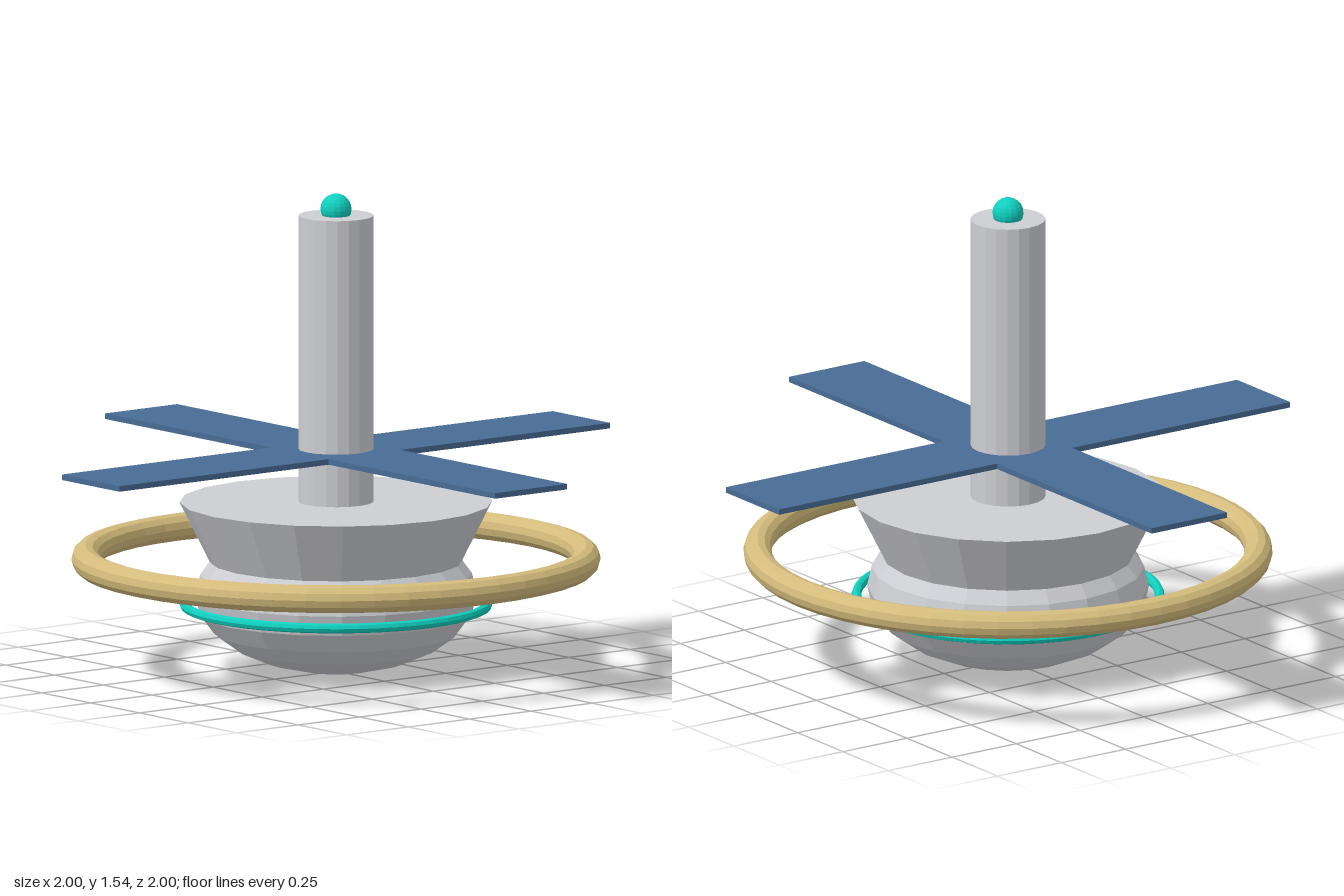
import * as THREE from 'three';

const flat = (name, color) => {
  const material = new THREE.MeshStandardMaterial({ color, flatShading: true });
  material.name = name;
  return material;
};

export function createModel() {
  const grey = flat('light grey', 0xcdced3);
  const blue = flat('panel blue', 0x486c96);
  const gold = flat('pale gold', 0xd4bc7c);
  const teal = flat('teal', 0x10cfbf);

  const model = new THREE.Group();
  model.name = 'spaceStation';

  const add = (name, geometry, material, y) => {
    const mesh = new THREE.Mesh(geometry, material);
    mesh.name = name;
    mesh.position.y = y;
    model.add(mesh);
    return mesh;
  };
  const ring = (radius, tube, sides, segments) =>
    new THREE.TorusGeometry(radius, tube, sides, segments).rotateX(Math.PI / 2);

  // Flattened bowl, flared deck and central mast
  add('bowl', new THREE.SphereGeometry(0.45, 20, 12).scale(1, 0.25 / 0.45, 1), grey, 0.25);
  add('flaredDeck', new THREE.CylinderGeometry(0.5, 0.35, 0.3, 20), grey, 0.4);
  add('mast', new THREE.CylinderGeometry(0.12, 0.12, 0.93, 20), grey, 1.01);
  add('beacon', new THREE.SphereGeometry(0.05, 16, 12), teal, 1.495);

  // Outer and inner rings
  add('outerRing', ring(0.8, 0.045, 12, 48), gold, 0.365);
  add('innerRing', ring(0.484, 0.016, 8, 48), teal, 0.218);

  // Cross-shaped panel: one arm outline turned through four quarters
  const half = 0.147;
  const points = [];
  for (let i = 0; i < 4; i++) {
    for (const [x, y] of [[half, -half], [1, -half], [1, half]]) {
      points.push(new THREE.Vector2(x, y).rotateAround(new THREE.Vector2(), i * Math.PI / 2));
    }
  }
  const cross = new THREE.ExtrudeGeometry(new THREE.Shape(points), { depth: 0.018, bevelEnabled: false });
  add('crossPanel', cross.rotateX(-Math.PI / 2), blue, 0.702);

  return model;
}
